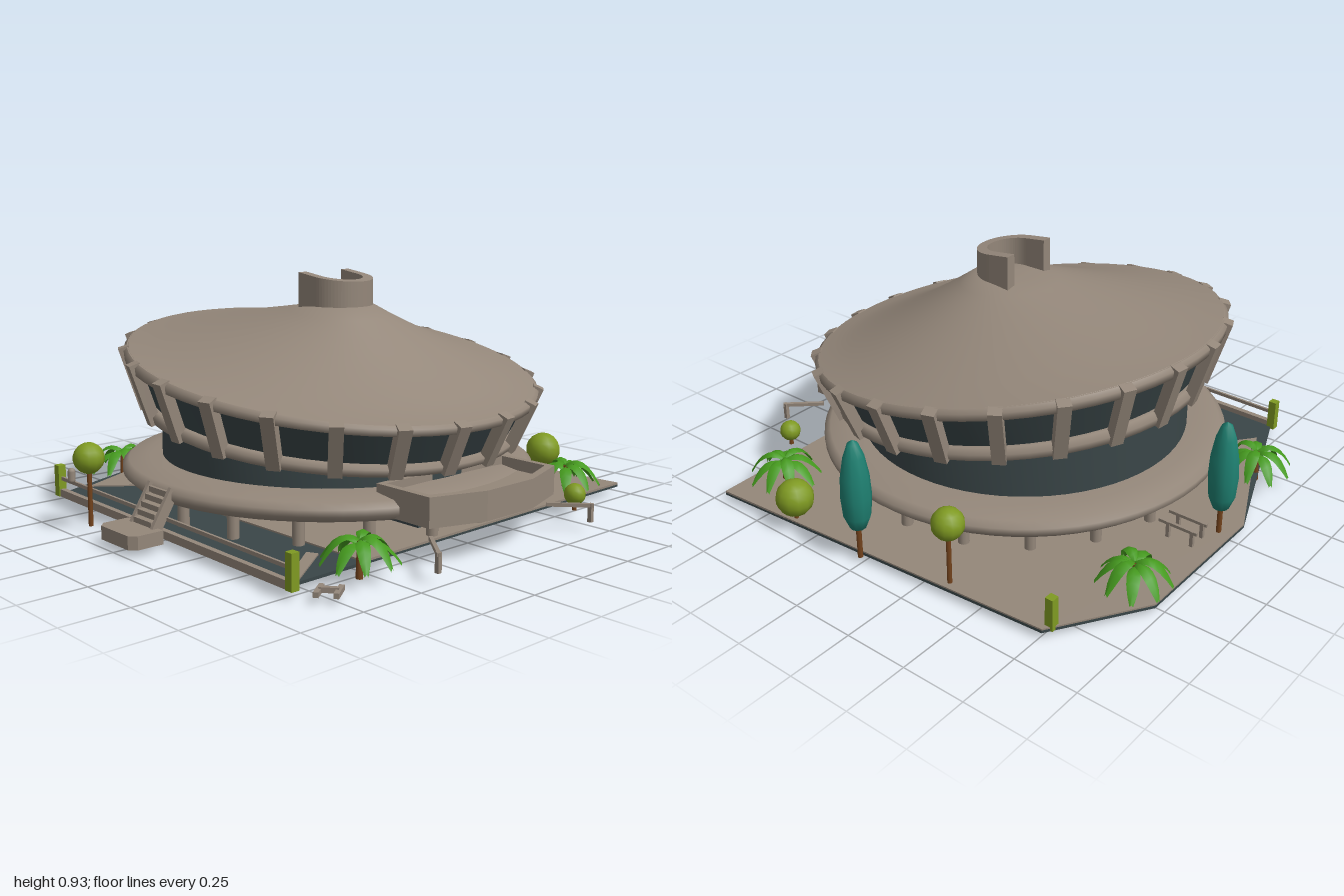
import * as THREE from 'three';

const mat = (name, color, side = THREE.FrontSide) => {
  const m = new THREE.MeshStandardMaterial({ color, side });
  m.name = name;
  return m;
};

export function createModel() {
  const model = new THREE.Group();
  model.name = 'roundPavilion';
  const stone = mat('warm stone', 0x94877a);
  const slate = mat('dark slate', 0x3a4648);
  const leaf = mat('palm green', 0x459a1e, THREE.DoubleSide);
  const olive = mat('olive green', 0x7f9a22);
  const teal = mat('teal green', 0x1f8172);
  const bark = mat('brown bark', 0x74431c);
  const V = (x, y, z) => new THREE.Vector3(x, y, z);

  const add = (name, geo, material, x = 0, y = 0, z = 0, parent = model) => {
    const mesh = new THREE.Mesh(geo, material);
    mesh.name = name;
    mesh.position.set(x, y, z);
    parent.add(mesh);
    return mesh;
  };

  // Rings of [radius, height, tilt, centreX], joined into a tilted round shell
  const loft = (name, rings, material, n = 66) => {
    const pos = [], idx = [];
    rings.forEach(([r, y, tilt, cx], i) => {
      for (let j = 0; j < n; j++) {
        const a = (j / n) * Math.PI * 2, k = (j + 1) % n;
        pos.push(cx + r * Math.cos(a), y + tilt * Math.cos(a), r * Math.sin(a));
        if (i < rings.length - 1) {
          const p = i * n + j, q = i * n + k;
          idx.push(p, q, p + n, q, q + n, p + n);
        }
      }
    });
    const g = new THREE.BufferGeometry();
    g.setAttribute('position', new THREE.Float32BufferAttribute(pos, 3));
    g.setIndex(idx);
    g.computeVertexNormals();
    return add(name, g, material);
  };

  // Flat plate from [x, z] corners, with its top at the given height
  const plate = (name, pts, top, thick, material, hole) => {
    const s = new THREE.Shape(pts.map(([x, z]) => new THREE.Vector2(x, z)));
    if (hole) s.holes.push(new THREE.Path(hole.map(([x, z]) => new THREE.Vector2(x, z))));
    const g = new THREE.ExtrudeGeometry(s, { depth: thick, bevelEnabled: false });
    return add(name, g.rotateX(Math.PI / 2), material, 0, top, 0);
  };

  // Straight bar from p to q, its depth pointing along "out"
  const beam = (name, p, q, w, d, material, out = V(0, 0.01, 1)) => {
    const dir = q.clone().sub(p);
    const mesh = add(name, new THREE.BoxGeometry(w, dir.length(), d), material);
    dir.normalize();
    const side = dir.clone().cross(out).normalize();
    mesh.quaternion.setFromRotationMatrix(
      new THREE.Matrix4().makeBasis(side, dir, side.clone().cross(dir)));
    mesh.position.copy(p).add(q).multiplyScalar(0.5);
    return mesh;
  };

  // Ground: dark slab with stone paving at the back and along one side
  plate('groundSlab', [[-0.76, -0.87], [0.7, -0.98], [0.74, 0.82], [-0.7, 0.8], [-0.98, 0.07], [-0.98, -0.53]],
    0.036, 0.011, slate);
  plate('paving', [[-0.76, -0.87], [0.7, -0.98], [0.735, 0.5], [-0.6, 0.52], [-0.71, 0.66], [-0.98, 0.07], [-0.98, -0.53]],
    0.042, 0.008, stone);
  plate('diagonalPath', [[0.54, 0.58], [0.58, 0.56], [0.77, 0.83], [0.72, 0.82]], 0.042, 0.008, stone);
  beam('frontCurb', V(-0.7, 0.042, 0.8), V(0.77, 0.042, 0.836), 0.03, 0.022, stone);
  beam('frontRail', V(-0.7, 0.1, 0.8), V(0.77, 0.1, 0.836), 0.014, 0.01, stone);
  for (const [x, z] of [[-0.705, 0.8], [0.77, 0.836], [-0.77, -0.83]])
    add('cornerPost', new THREE.BoxGeometry(0.032, 0.125, 0.032), olive, x, 0.09, z);

  // Concave tilted roof, running from the collar to the rim
  const roof = [[0.001, 0.8, 0, 0.08]];
  for (let i = 0; i <= 10; i++) {
    const t = i / 10, w = (1 - t) ** 1.3;
    roof.push([0.13 + 0.66 * t, 0.585 + 0.215 * w, -0.125 * (1 - w), 0.08 - 0.055 * t]);
  }
  loft('roof', roof, stone);
  loft('roofRim', [[0.785, 0.586, -0.125, 0.025], [0.803, 0.572, -0.123, 0.025],
    [0.8, 0.545, -0.12, 0.025], [0.75, 0.535, -0.115, 0.025]], stone);
  loft('windowBand', [[0.765, 0.54, -0.115, 0.025], [0.7, 0.4, -0.095, 0.02]], slate);
  loft('lowerRim', [[0.69, 0.405, -0.095, 0.02], [0.72, 0.408, -0.095, 0.02], [0.737, 0.39, -0.092, 0.02],
    [0.73, 0.365, -0.088, 0.02], [0.7, 0.35, -0.085, 0.02], [0.62, 0.335, -0.08, 0.01]], stone);
  loft('drumWall', [[0.65, 0.36, -0.09, 0], [0.65, 0.2, 0, 0]], slate);

  // Leaning ribs around the window band
  for (let i = 0; i < 22; i++) {
    const a = Math.PI / 2 + (i / 22) * Math.PI * 2, c = Math.cos(a), s = Math.sin(a);
    beam('windowRib', V(0.02 + 0.722 * c, 0.362 - 0.088 * c, 0.722 * s),
      V(0.025 + 0.803 * c, 0.582 - 0.123 * c, 0.803 * s), 0.05, 0.042, stone, V(c, 0, s));
  }

  // U-shaped crown on the roof, open to one side
  const u = new THREE.Shape();
  u.moveTo(-0.02, -0.13);
  u.lineTo(0.07, -0.13);
  u.absarc(0.07, 0, 0.13, -Math.PI / 2, Math.PI / 2, false);
  u.lineTo(-0.02, 0.13);
  u.lineTo(-0.02, 0.09);
  u.lineTo(0.07, 0.09);
  u.absarc(0.07, 0, 0.09, Math.PI / 2, -Math.PI / 2, true);
  u.lineTo(-0.02, -0.09);
  const crown = new THREE.ExtrudeGeometry(u, { depth: 0.17, bevelEnabled: false, curveSegments: 16 })
    .rotateX(Math.PI / 2).translate(0, 0.92, 0);
  const cp = crown.attributes.position;
  for (let i = 0; i < cp.count; i++)
    if (cp.getY(i) > 0.85) cp.setY(i, 0.925 - 0.13 * (cp.getX(i) + 0.02));
  crown.computeVertexNormals();
  add('roofCrown', crown, stone);

  // Terrace ring carried on columns
  loft('terrace', [[0.62, 0.225, 0, 0], [0.7, 0.222, 0, 0], [0.78, 0.21, 0, 0], [0.805, 0.19, 0, 0],
    [0.805, 0.165, 0, 0], [0.78, 0.142, 0, 0], [0.6, 0.14, 0, 0], [0.001, 0.14, 0, 0]], stone);
  for (let i = 0; i < 18; i++) {
    const a = ((i + 0.5) / 18) * Math.PI * 2;
    add('column', new THREE.CylinderGeometry(0.022, 0.022, 0.11, 10), stone,
      0.7 * Math.cos(a), 0.092, 0.7 * Math.sin(a));
  }
  add('entranceCore', new THREE.BoxGeometry(0.16, 0.11, 0.2), slate, 0.52, 0.092, 0);

  // Balcony with a parapet
  const balcony = [[0.62, -0.33], [0.87, -0.33], [0.94, -0.12], [0.94, 0.12], [0.87, 0.33], [0.62, 0.33]];
  const inner = balcony.map(([x, z]) => [x > 0.7 ? x - 0.025 : x + 0.025, z * 0.92]);
  plate('balconyFloor', balcony, 0.21, 0.065, stone);
  plate('balconyParapet', balcony, 0.252, 0.05, stone, inner);

  // Handrails beside the balcony
  for (const [x1, z1, x2, z2] of [[0.84, 0.29, 0.985, 0.405], [0.84, -0.33, 0.965, -0.445]]) {
    beam('handrail', V(x1, 0.1, z1), V(x2, 0.1, z2), 0.014, 0.014, stone);
    add('handrailPost', new THREE.BoxGeometry(0.016, 0.07, 0.016), stone, x2 - 0.008, 0.072, z2 - Math.sign(z2) * 0.006);
  }

  // Side rack of two rails
  for (const z of [-0.17, -0.1]) {
    beam('sideRail', V(-0.92, 0.1, z), V(-0.76, 0.1, z), 0.012, 0.012, stone);
    for (const x of [-0.9, -0.8])
      add('sideRailPost', new THREE.BoxGeometry(0.014, 0.07, 0.014), stone, x, 0.07, z);
  }

  // Front steps, landing and small bench
  const landing = [[-0.115, 0.86], [0.105, 0.86], [0.105, 0.965], [0.08, 0.99], [-0.09, 0.99], [-0.115, 0.965]];
  plate('landing', landing, 0.075, 0.05, stone);
  for (let i = 0; i < 5; i++)
    add('frontStep', new THREE.BoxGeometry(0.11, 0.02, 0.026), stone, 0, 0.085 + i * 0.025, 0.865 - i * 0.017);
  for (const x of [-0.065, 0.065])
    beam('stepSide', V(x, 0.06, 0.87), V(x, 0.2, 0.785), 0.016, 0.04, stone, V(0, 1, 0));
  for (const [x, z] of [[0.83, 0.78], [0.88, 0.74]])
    beam('benchSide', V(x - 0.025, 0.03, z - 0.035), V(x + 0.025, 0.03, z + 0.035), 0.018, 0.018, stone);
  beam('benchSeat', V(0.83, 0.035, 0.78), V(0.88, 0.035, 0.74), 0.018, 0.018, stone);
  add('lampHead', new THREE.CapsuleGeometry(0.014, 0.03, 4, 10), stone, -0.3, 0.215, 0.98);

  // Round trees and shrubs: x, height, z, radius
  for (const [x, y, z, r] of [[-0.26, 0.28, 0.93, 0.058], [-0.36, 0.285, -0.87, 0.06],
    [0.35, 0.13, -0.93, 0.072], [0.795, 0.088, -0.56, 0.042]]) {
    add('roundCrown', new THREE.SphereGeometry(r, 12, 9), olive, x, y, z);
    add('roundTreeTrunk', new THREE.CylinderGeometry(0.009, 0.009, y - 0.025, 7), bark, x, (y + 0.025) / 2, z);
  }

  // Tall cypresses
  const cypress = [[0.001, 0.14], [0.03, 0.15], [0.05, 0.2], [0.056, 0.28], [0.052, 0.36],
    [0.038, 0.44], [0.02, 0.49], [0.001, 0.503]].map(([r, y]) => new THREE.Vector2(r, y));
  for (const [x, z] of [[0.01, -0.935], [-0.93, -0.03]]) {
    add('cypressCrown', new THREE.LatheGeometry(cypress, 10), teal, x, 0, z);
    add('cypressTrunk', new THREE.CylinderGeometry(0.01, 0.01, 0.14, 7), bark, x, 0.09, z);
  }

  // Palms: folded drooping fronds around a short trunk
  const frond = () => {
    const g = new THREE.PlaneGeometry(1, 1, 6, 2);
    const p = g.attributes.position;
    for (let i = 0; i < p.count; i++) {
      const t = p.getX(i) + 0.5, v = p.getY(i) * 2;
      const half = 0.003 + 0.021 * Math.sin(Math.PI * Math.min(1, t * 0.98)) ** 0.7;
      p.setXYZ(i, 0.138 * t, 0.125 + 0.11 * t - 0.175 * t * t - Math.abs(v) * 0.01, v * half);
    }
    g.computeVertexNormals();
    return g;
  };
  [[-0.86, -0.48], [-0.83, 0.43], [0.77, 0.55], [0.59, -0.77]].forEach(([x, z], k) => {
    const palm = new THREE.Group();
    palm.name = 'palm';
    palm.position.set(x, 0, z);
    model.add(palm);
    add('palmTrunk', new THREE.CylinderGeometry(0.009, 0.013, 0.13, 7), bark, 0, 0.065, 0, palm);
    for (let i = 0; i < 9; i++) {
      const f = add('palmFrond', frond(), leaf, 0, 0, 0, palm);
      f.rotation.y = (i / 9) * Math.PI * 2 + k * 0.4;
      f.scale.y = 1 + 0.08 * (i % 3 - 1);
    }
  });

  return model;
}
